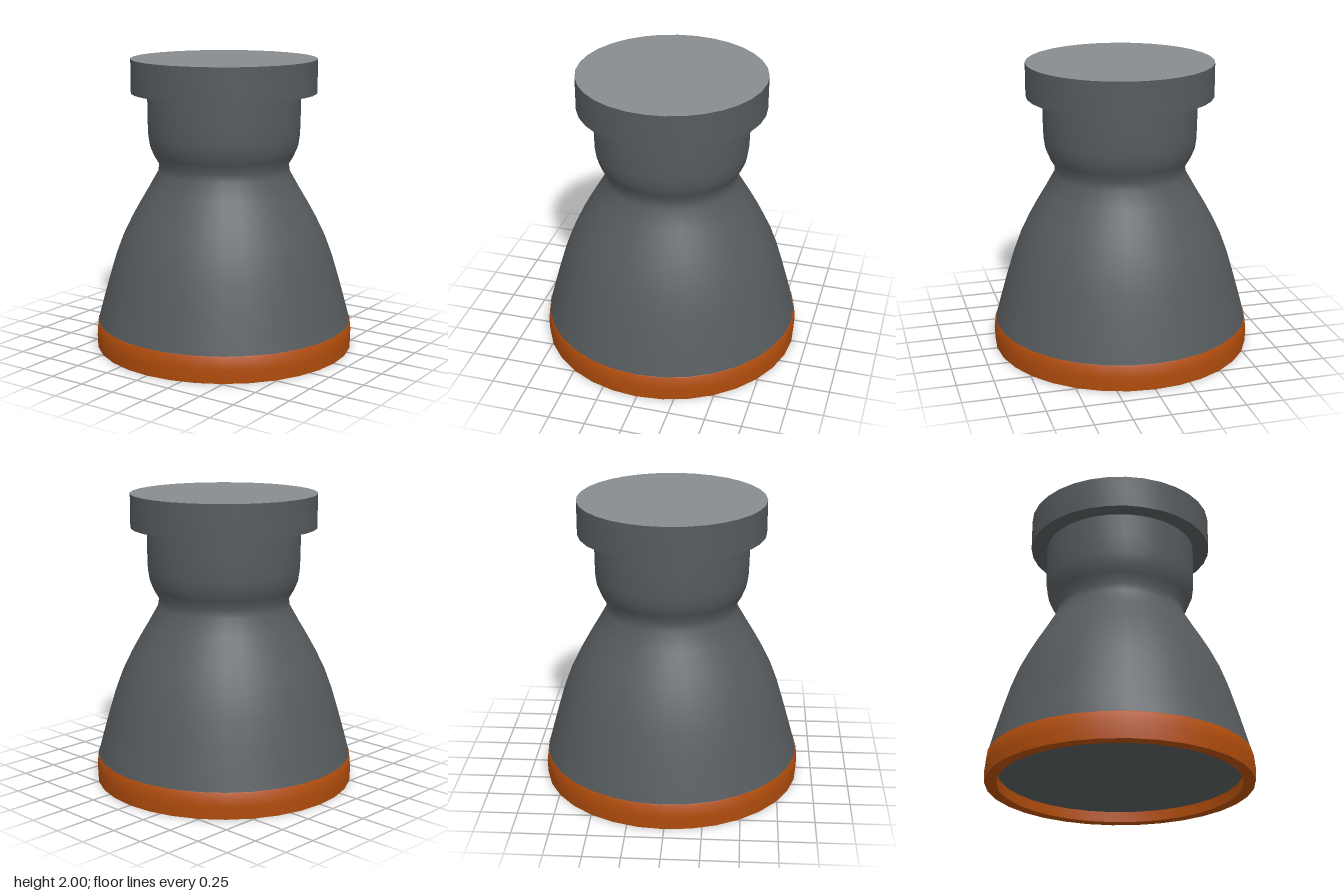
import * as THREE from 'three';
import { toCreasedNormals } from 'three/addons/utils/BufferGeometryUtils.js';

const SIDES = 32;

// Turned part: profile is [radius, height] pairs; outer walls run upward.
function turned(name, profile, material) {
  const points = profile.map(([r, y]) => new THREE.Vector2(r, y));
  const mesh = new THREE.Mesh(toCreasedNormals(new THREE.LatheGeometry(points, SIDES), 0.7), material);
  mesh.name = name;
  return mesh;
}

function flat(name, color) {
  const material = new THREE.MeshStandardMaterial({ color });
  material.name = name;
  return material;
}

export function createModel() {
  const grey = flat('dark grey metal', 0x565b5e);
  const lightGrey = flat('light grey metal', 0x888c8e);
  const orange = flat('burnt orange', 0xb04c0c);

  const group = new THREE.Group();
  group.name = 'nozzle';

  // Flared bell with a pinched throat and a straight chamber above it
  group.add(turned('bell', [
    [0.884, 0.175], [0.845, 0.32], [0.80, 0.48], [0.755, 0.63], [0.703, 0.77],
    [0.64, 0.90], [0.585, 1.00], [0.52, 1.11], [0.455, 1.225], [0.447, 1.28],
    [0.485, 1.345], [0.512, 1.41], [0.522, 1.48], [0.525, 1.60], [0.525, 1.78],
  ], grey));

  // Mounting flange with a lighter top face
  group.add(turned('flange', [[0.51, 1.77], [0.637, 1.77], [0.637, 2]], grey));
  group.add(turned('flangeTop', [[0.637, 2], [0, 2]], lightGrey));

  // Orange rim: inner wall, underside and outer wall, flush with the bell
  group.add(turned('rim', [
    [0.815, 0.09], [0.815, 0], [0.893, 0], [0.897, 0.09], [0.888, 0.175], [0.884, 0.18],
  ], orange));

  // Flat recessed underside
  group.add(turned('recess', [[0, 0.075], [0.82, 0.075]], grey));

  return group;
}
